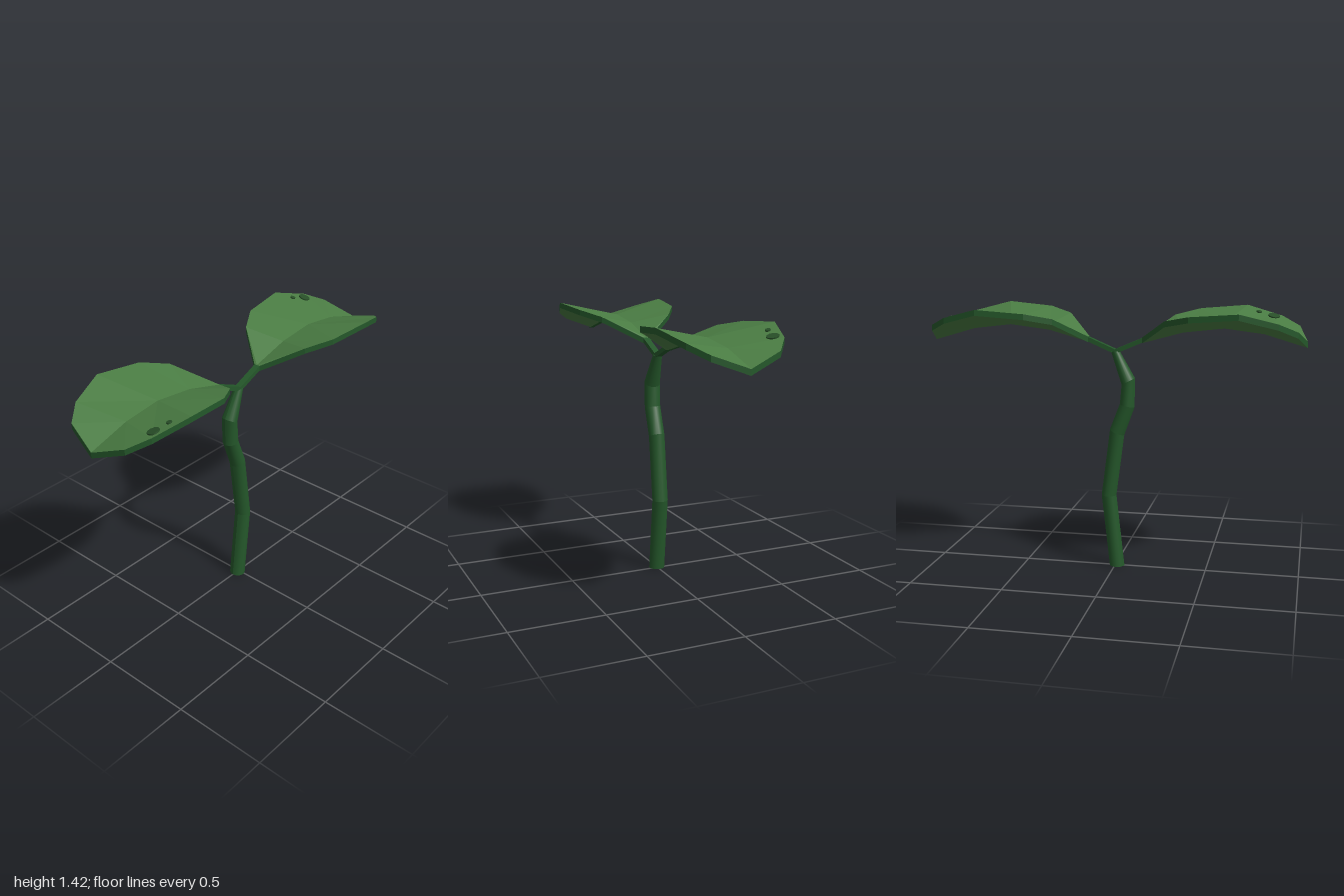
import * as THREE from 'three';

const leafGreen = new THREE.MeshStandardMaterial({ color: 0x4a7c43 });
leafGreen.name = 'leaf green';
const stemGreen = new THREE.MeshStandardMaterial({ color: 0x24572a });
stemGreen.name = 'stem green';
const spotGreen = new THREE.MeshStandardMaterial({ color: 0x284f28 });
spotGreen.name = 'spot green';

const THICK = 0.03;
// Leaf midrib and the outer edge of one half, from stalk to tip: x, y, z
const MID = [[0, 1.265, 0.145], [0, 1.325, 0.36], [0, 1.35, 0.575], [0, 1.325, 0.78], [0, 1.26, 1]];
const RIM = [[0.017, 1.265, 0.145], [0.2, 1.37, 0.29], [0.28, 1.4, 0.42], [0.31, 1.42, 0.67],
  [0.25, 1.37, 0.86], [0.175, 1.325, 0.955], MID[4]];
// Stem rings: height, z centre, x radius, z radius, tilt
const RINGS = [[0, 0.01, 0.043, 0.041, 0], [0.4, -0.035, 0.043, 0.041, 0], [0.752, 0.01, 0.043, 0.039, -0.4],
  [0.9, 0.065, 0.043, 0.04, -0.2], [1.03, 0.07, 0.043, 0.036, 0.5], [1.19, 0, 0.025, 0.024, 0]];

function named(name, geometry, material) {
  const mesh = new THREE.Mesh(geometry, material);
  mesh.name = name;
  return mesh;
}

// Flat-shaded surface from a list of triangles
function faceted(triangles) {
  const g = new THREE.BufferGeometry();
  g.setAttribute('position', new THREE.Float32BufferAttribute(triangles.flat(2), 3));
  g.computeVertexNormals();
  return g;
}

const drop = ([x, y, z], d = THICK) => [x, y - d, z];
const flip = ([x, y, z]) => [-x, y, z];

function makeLeaf() {
  const leaf = new THREE.Group();
  const [M, R] = [MID, RIM];
  const half = [[M[0], R[1], R[0]], [M[0], M[1], R[1]], [M[1], R[2], R[1]], [M[1], M[2], R[2]],
    [M[2], R[3], R[2]], [M[2], R[4], R[3]], [M[2], M[3], R[4]], [M[3], R[5], R[4]], [M[3], M[4], R[5]]];
  const blade = [], edge = [], vein = [];
  const both = (list, t) => list.push(t, t.map(flip).reverse());

  // Upper and lower blade faces
  for (const t of half) {
    both(blade, t);
    both(blade, t.map((p) => drop(p)).reverse());
  }
  // Dark edge band
  for (let i = 0; i < 6; i++) {
    const a = R[i], b = R[i + 1];
    both(edge, [a, b, drop(a)]);
    both(edge, [b, drop(b), drop(a)]);
  }
  // Vein along the underside
  for (let i = 0; i < 4; i++) {
    const [a, b] = [drop(M[i], THICK + 0.003), drop(M[i + 1], THICK + 0.003)];
    const side = (p) => [0.014, p[1], p[2]];
    both(vein, [a, side(a), side(b)]);
    both(vein, [a, side(b), b]);
  }
  leaf.add(named('leafBlade', faceted(blade), leafGreen));
  leaf.add(named('leafEdge', faceted(edge), stemGreen));
  leaf.add(named('leafVein', faceted(vein), stemGreen));

  // Stalk sheared up from the stem to the blade
  const stalk = new THREE.BoxGeometry(0.034, 0.025, 0.15).translate(0, 1.188, 0.075);
  const p = stalk.attributes.position;
  for (let i = 0; i < p.count; i++) p.setY(i, p.getY(i) + p.getZ(i) * 0.43);
  stalk.computeVertexNormals();
  leaf.add(named('leafStalk', stalk, stemGreen));

  // Two thin spots lying on the blade
  const normal = new THREE.Vector3(-0.279, 1, 0.16).normalize();
  for (const [x, y, z, r] of [[0.215, 1.369, 0.815, 0.031], [0.235, 1.388, 0.735, 0.014]]) {
    const spot = named('leafSpot', new THREE.CylinderGeometry(r, r, 0.009, 10), spotGreen);
    spot.position.set(x, y, z).addScaledVector(normal, 0.002);
    spot.quaternion.setFromUnitVectors(new THREE.Vector3(0, 1, 0), normal);
    leaf.add(spot);
  }
  return leaf;
}

// Stem segments: round across, creased where the stem bends
function makeStem() {
  const stem = new THREE.Group();
  stem.name = 'stem';
  for (let i = 0; i < RINGS.length - 1; i++) {
    const g = new THREE.CylinderGeometry(1, 1, 1, 14, 1, true);
    const p = g.attributes.position;
    for (let k = 0; k < p.count; k++) {
      const [y, cz, rx, rz, tilt] = RINGS[p.getY(k) > 0 ? i + 1 : i];
      const dz = p.getZ(k) * rz;
      p.setXYZ(k, p.getX(k) * rx, y + dz * tilt, cz + dz);
    }
    g.computeVertexNormals();
    stem.add(named('stemSegment', g, stemGreen));
  }
  for (const [ring, turn] of [[RINGS[0], Math.PI / 2], [RINGS[5], -Math.PI / 2]]) {
    const cap = new THREE.CircleGeometry(1, 14).rotateZ(Math.PI / 2).rotateX(turn).scale(ring[2], 1, ring[3]);
    stem.add(named('stemCap', cap.translate(0, ring[0], ring[1]), stemGreen));
  }
  return stem;
}

export function createModel() {
  const model = new THREE.Group();
  model.name = 'seedling';
  model.add(makeStem());
  const front = makeLeaf();
  front.name = 'frontLeaf';
  const back = makeLeaf();
  back.name = 'backLeaf';
  back.rotation.y = Math.PI;
  model.add(front, back);
  return model;
}
